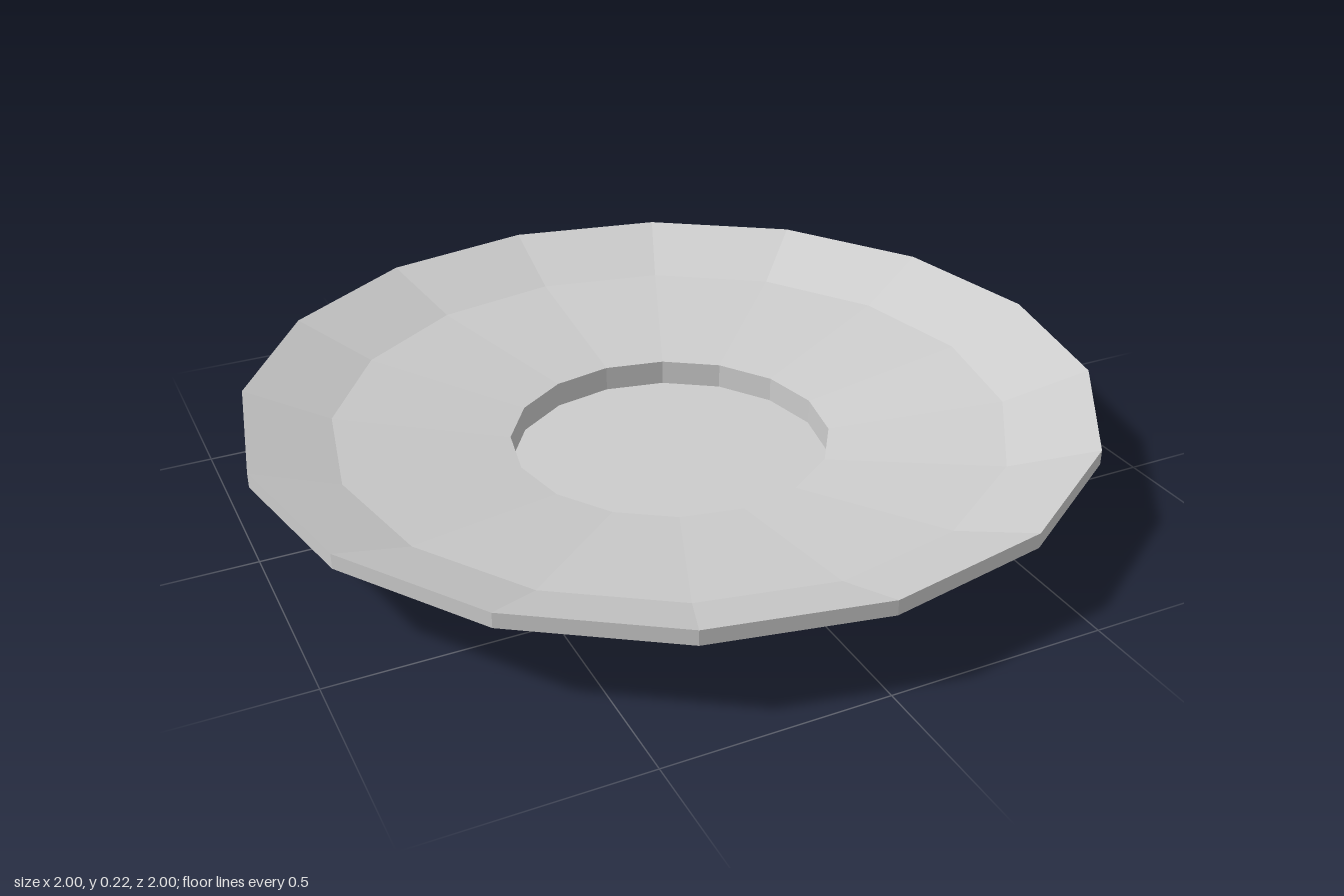
import * as THREE from 'three';

const SIDES = 16;

export function createModel() {
  const group = new THREE.Group();
  group.name = 'saucer';
  const material = new THREE.MeshStandardMaterial({ color: 0xcccccc, flatShading: true });

  // Revolve a profile of [radius, height] points into a faceted part
  const addLathe = (name, profile) => {
    const points = profile.map(([r, y]) => new THREE.Vector2(r, y));
    const mesh = new THREE.Mesh(new THREE.LatheGeometry(points, SIDES), material);
    mesh.name = name;
    group.add(mesh);
  };

  // Flat base and upright foot ring
  addLathe('foot', [[0, 0], [0.625, 0], [0.625, 0.063]]);

  // Sloping underside, thin rim and two-step dished top
  addLathe('dish', [[0.625, 0.063], [1, 0.19], [1, 0.225], [0.8, 0.146], [0.382, 0.084]]);

  // Sunken well for the cup
  addLathe('cupWell', [[0.382, 0.084], [0.382, 0.022], [0, 0.022]]);

  return group;
}
